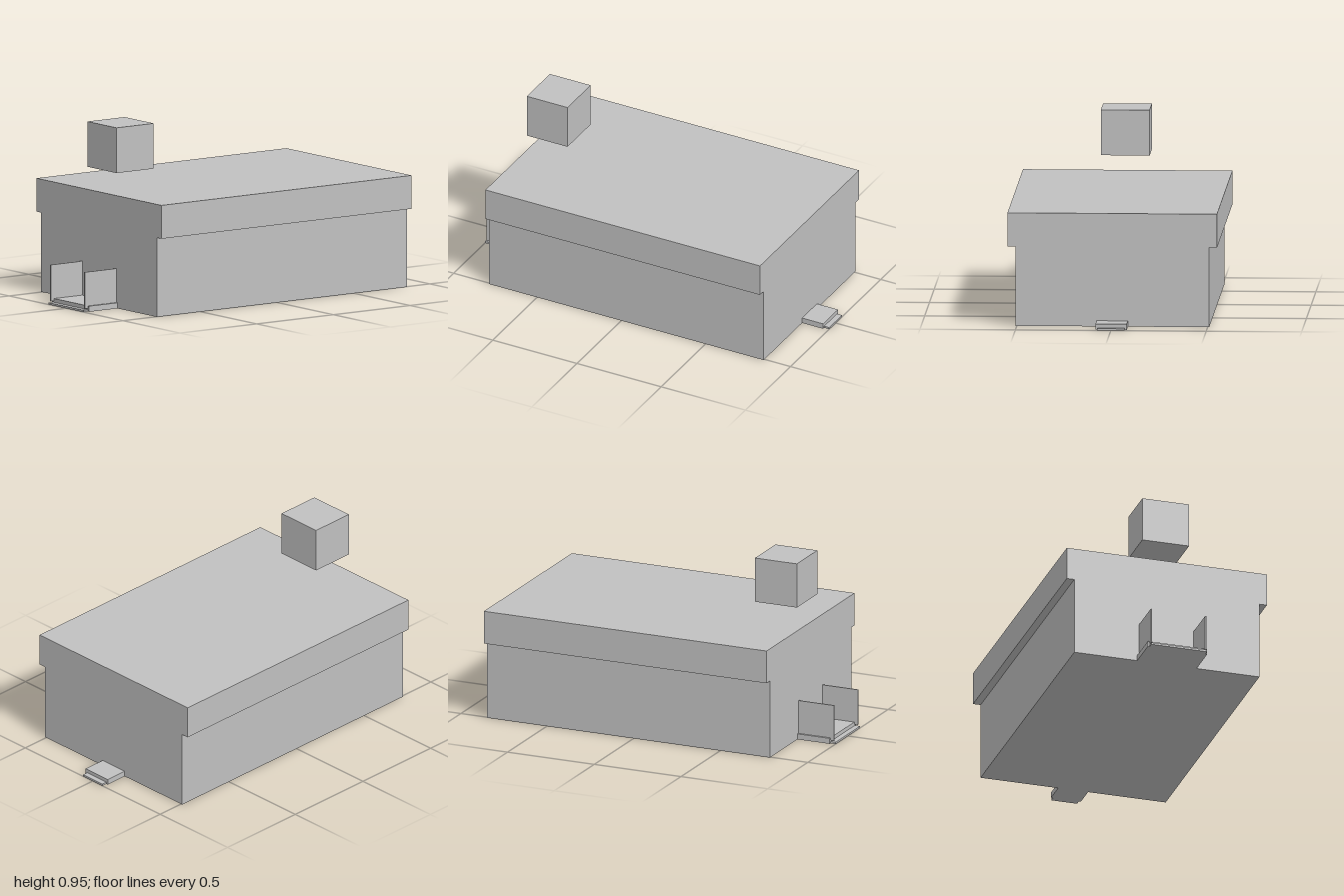
import * as THREE from 'three';

export function createModel() {
  const model = new THREE.Group();
  const grey = new THREE.MeshStandardMaterial({ name: 'light grey', color: 0xc0c0c0 });

  // Box given by its limits on each axis
  function block(name, [x0, x1], [y0, y1], [z0, z1]) {
    const mesh = new THREE.Mesh(new THREE.BoxGeometry(x1 - x0, y1 - y0, z1 - z0), grey);
    mesh.position.set((x0 + x1) / 2, (y0 + y1) / 2, (z0 + z1) / 2);
    mesh.name = name;
    model.add(mesh);
  }

  // Building with an overhanging roof
  const back = -0.845, front = 0.785;
  block('walls', [-0.508, 0.508], [0, 0.42], [back, front]);
  block('roof', [-0.549, 0.549], [0.42, 0.597], [back, front]);

  // Cube floating above the roof
  block('floatingCube', [-0.128, 0.128], [0.711, 0.951], [0.523, 0.765]);

  // Front porch, its lower step and side panels
  block('porch', [-0.163, 0.163], [0, 0.03], [front, 0.97]);
  block('porchStep', [-0.153, 0.153], [0, 0.01], [0.97, 1]);
  for (const side of [-1, 1]) {
    const x = side * 0.149;
    block(side > 0 ? 'leftRail' : 'rightRail', [x - 0.0035, x + 0.0035], [0.017, 0.21], [front, 0.99]);
  }

  // Back landing and its lower step
  block('backLanding', [-0.082, 0.082], [0, 0.03], [-0.97, back]);
  block('backStep', [-0.071, 0.071], [0, 0.01], [-1, -0.97]);

  return model;
}
